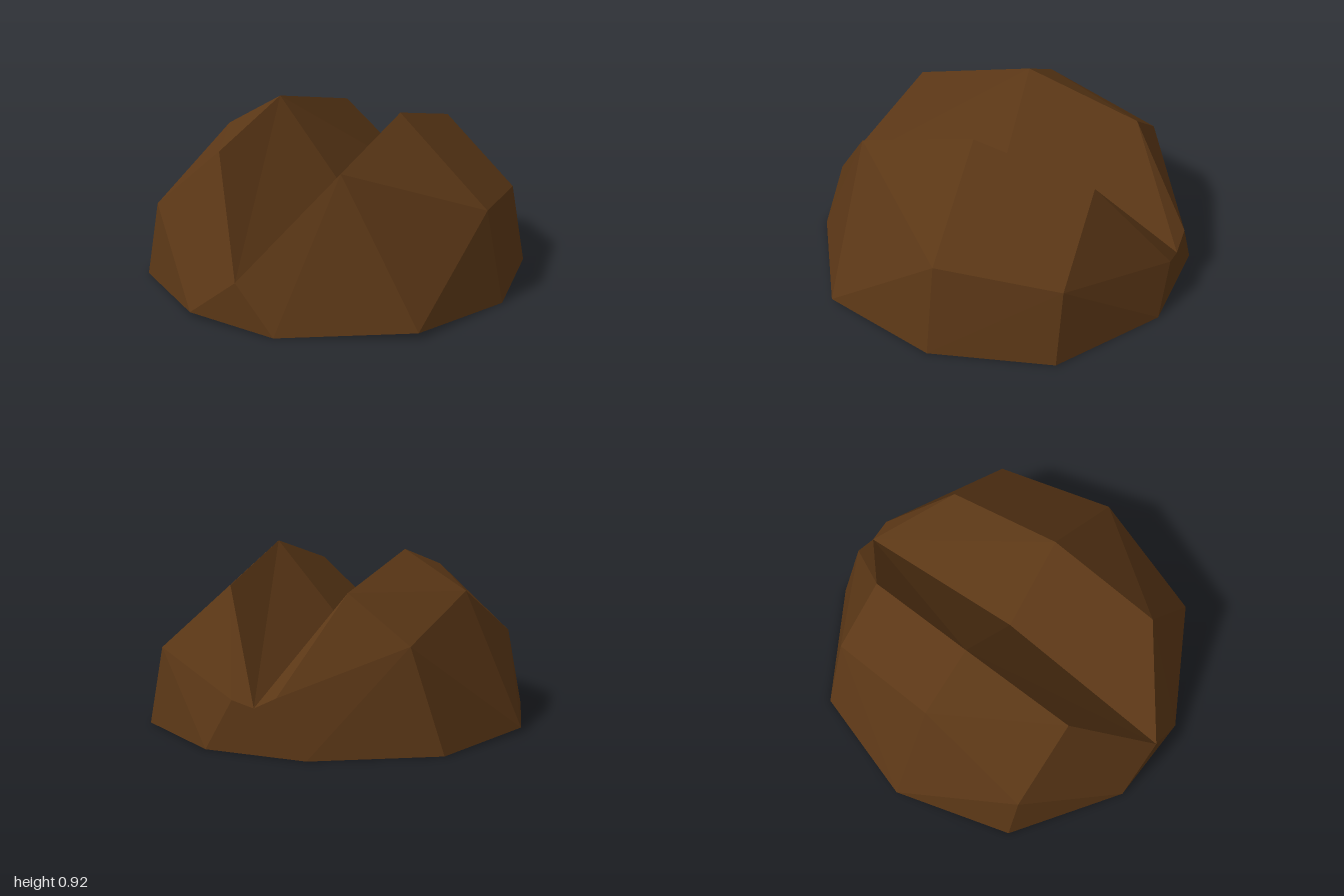
import * as THREE from 'three';

// Cross-sections from back to front. Columns run left to right in x:
// base, shoulder, peak, valley, peak, shoulder, base.
// A third number replaces the section's z (valley ends run straight to the rim).
const SECTIONS = [
  { z: -0.99, pts: [[-0.26, 0], [-0.26, 0], [-0.1, 0.29], [0.02, 0.23], [0.14, 0.26], [0.29, 0], [0.29, 0]] },
  { z: -0.63, pts: [[-0.82, 0], [-0.64, 0.52], [-0.31, 0.76], [0.02, 0.23, -0.99], [0.34, 0.76], [0.75, 0.41], [0.83, 0]] },
  { z: 0, pts: [[-1, 0.02], [-0.69, 0.71], [-0.35, 0.91], [0.01, 0.5], [0.39, 0.92], [0.9, 0.48], [1, 0]] },
  { z: 0.62, pts: [[-0.8, 0], [-0.72, 0.41], [-0.31, 0.76], [0.03, 0.24, 0.98], [0.41, 0.76], [0.85, 0.03], [0.85, 0.03]] },
  { z: 0.98, pts: [[-0.25, 0.025], [-0.25, 0.025], [0.03, 0.24], [0.03, 0.24], [0.03, 0.24], [0.25, 0], [0.25, 0]] },
];

function rockGeometry() {
  const rows = SECTIONS.map(({ z, pts }) => pts.map(([x, y, pz = z]) => new THREE.Vector3(x, y, pz)));
  const cols = rows[0].length;
  const positions = [];

  const normal = (a, b, c) => b.clone().sub(a).cross(c.clone().sub(a));
  const tri = (a, b, c) => {
    if (normal(a, b, c).length() < 1e-6) return; // collapsed corner
    for (const p of [a, b, c]) positions.push(p.x, p.y, p.z);
  };

  // Skin between sections; the wrapping column closes the base
  for (let i = 0; i < rows.length - 1; i++) {
    for (let j = 0; j < cols; j++) {
      const k = (j + 1) % cols;
      const a = rows[i][j], b = rows[i][k], c = rows[i + 1][k], d = rows[i + 1][j];
      // Valley walls crease from the summit to the valley end, the rest bulge outward
      const valleyWall = j === 2 || j === 3;
      const alongAC = valleyWall
        ? (i + j) % 2 === 0
        : normal(a, d, c).dot(b.clone().sub(a)) <= 1e-9;
      if (alongAC) { tri(a, d, c); tri(a, c, b); }
      else { tri(a, d, b); tri(d, c, b); }
    }
  }

  // Flat back and front ends, fanned from the valley point
  const back = rows[0], front = rows[rows.length - 1];
  for (let j = 0; j < cols; j++) {
    const k = (j + 1) % cols;
    tri(back[3], back[j], back[k]);
    tri(front[3], front[k], front[j]);
  }

  const geometry = new THREE.BufferGeometry();
  geometry.setAttribute('position', new THREE.Float32BufferAttribute(positions, 3));
  geometry.computeVertexNormals();
  return geometry;
}

export function createModel() {
  const group = new THREE.Group();
  group.name = 'twinPeakMound';
  const material = new THREE.MeshStandardMaterial({ color: 0x5b3716, flatShading: true });
  const mound = new THREE.Mesh(rockGeometry(), material);
  mound.name = 'mound';
  group.add(mound);
  return group;
}
